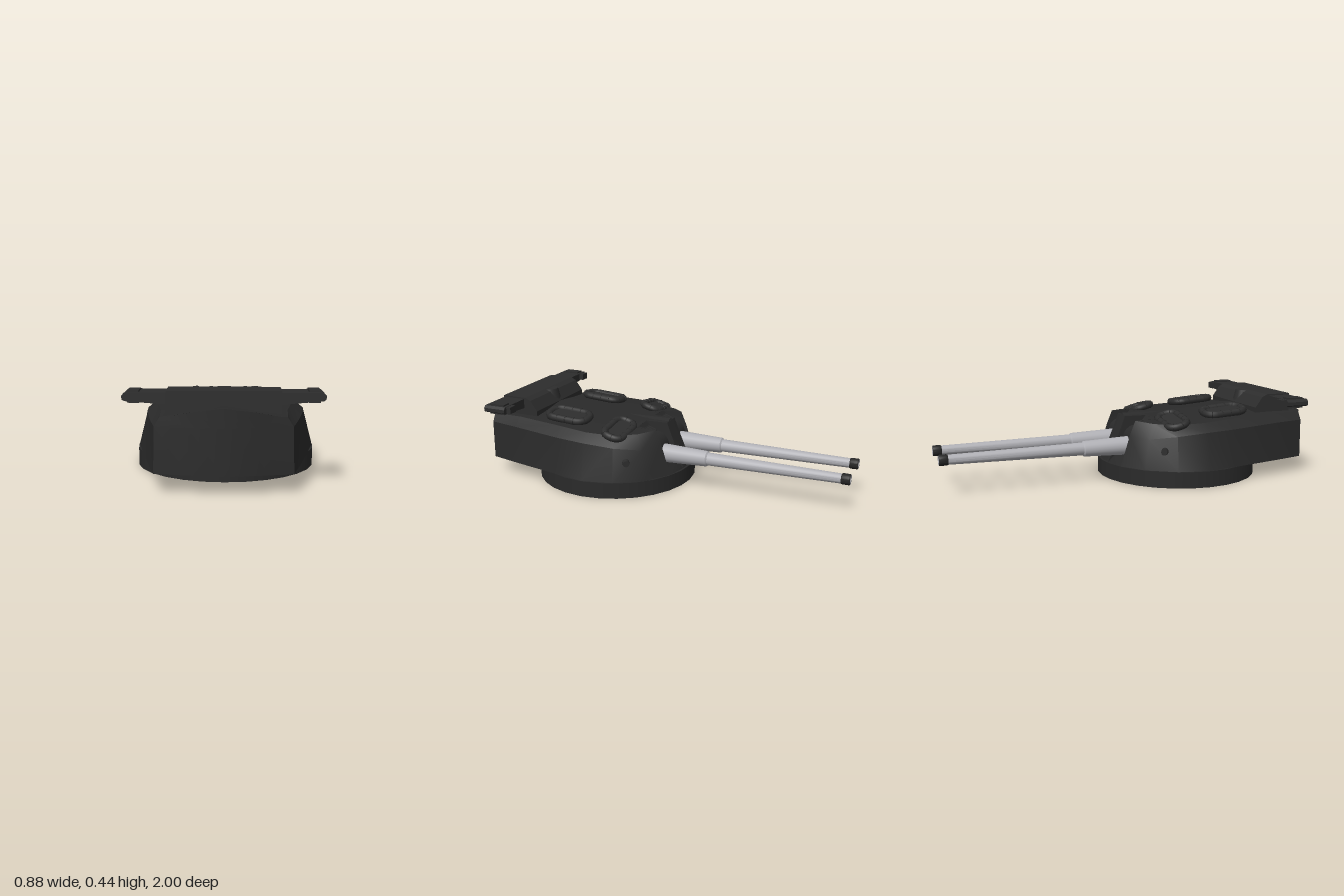
import * as THREE from 'three';
import { toCreasedNormals } from 'three/addons/utils/BufferGeometryUtils.js';
import { ConvexGeometry } from 'three/addons/geometries/ConvexGeometry.js';

const flat = (name, color, side = THREE.FrontSide) => {
  const m = new THREE.MeshStandardMaterial({ color, side });
  m.name = name;
  return m;
};

export function createModel() {
  const root = new THREE.Group();
  root.name = 'gunTurret';
  const armour = flat('dark armour', 0x2a2a2a, THREE.DoubleSide);
  const fitting = flat('dark fittings', 0x2d2d2d);
  const steel = flat('barrel steel', 0xb0b0b5, THREE.DoubleSide);
  const black = flat('muzzle black', 0x262626);

  const add = (name, geo, mat, x = 0, y = 0, z = 0, parent = root) => {
    const m = new THREE.Mesh(geo, mat);
    m.name = name;
    m.position.set(x, y, z);
    parent.add(m);
    return m;
  };
  const hull = (name, pts, mat, parent = root) =>
    add(name, toCreasedNormals(new ConvexGeometry(pts.map(p => new THREE.Vector3(...p))), 0.4), mat, 0, 0, 0, parent);

  // Base ring, open below and closed at the turret floor
  const R = 0.438, ringZ = 0.325, floorY = 0.085;
  add('baseRing', new THREE.CylinderGeometry(R, R, floorY, 28, 1, true), armour, 0, floorY / 2, ringZ);
  const disc = new THREE.CircleGeometry(R, 28, Math.PI / 2);
  disc.rotateX(-Math.PI / 2);
  add('ringFloor', disc, armour, 0, floorY - 0.001, ringZ);

  // Armoured house, nose to rear: foot x,z | shoulder x,y,z | roof edge x,y,z | spine z
  // Stations 2 and 3 step back to form the gun slot
  const stations = [
    [0, -0.1, 0, 0.25, -0.035, 0, 0.33, 0, 0],
    [0.052, -0.097, 0.052, 0.25, -0.03, 0.052, 0.329, 0, 0.06],
    [0.055, -0.097, 0.055, 0.13, -0.05, 0.055, 0.328, 0.12, 0.12],
    [0.175, -0.072, 0.175, 0.13, -0.045, 0.175, 0.325, 0.12, 0.13],
    [0.178, -0.071, 0.178, 0.25, -0.02, 0.178, 0.324, 0.01, 0.14],
    [0.305, 0.015, 0.28, 0.24, 0.045, 0.25, 0.315, 0.08, 0.16],
    [0.4, 0.16, 0.362, 0.26, 0.17, 0.31, 0.31, 0.19, 0.22],
    [0.436, 0.32, 0.387, 0.275, 0.33, 0.335, 0.318, 0.34, 0.36],
    [0.402, 0.49, 0.375, 0.28, 0.49, 0.32, 0.328, 0.5, 0.5],
    [0.34, 0.78, 0.33, 0.29, 0.78, 0.28, 0.335, 0.78, 0.78],
    [0.3, 0.95, 0.295, 0.29, 0.95, 0.27, 0.332, 0.95, 0.97],
    [0.15, 0.975, 0.15, 0.29, 0.975, 0.145, 0.355, 0.975, 0.985],
    [0, 1, 0, 0.29, 1, 0, 0.375, 1, 1],
  ].map(([fx, fz, sx, sy, sz, ex, ey, ez, cz]) => {
    const cy = 0.33 + 0.045 * THREE.MathUtils.smoothstep(cz, 0, 1);
    return [[fx, floorY, fz], [sx, sy, sz], [ex, ey, ez], [0.9 * ex, 0.9 * ey + 0.1 * cy, cz], [0, cy, cz]];
  });
  const pos = [];
  for (const side of [1, -1]) {
    const tri = (a, b, c) => {
      for (const p of side > 0 ? [a, b, c] : [a, c, b]) pos.push(p[0] * side, p[1], p[2]);
    };
    for (let i = 0; i < stations.length - 1; i++) {
      for (let j = 0; j < 4; j++) {
        const [a, b, c, d] = [stations[i][j], stations[i][j + 1], stations[i + 1][j], stations[i + 1][j + 1]];
        tri(a, b, c);
        tri(b, d, c);
      }
    }
  }
  const house = new THREE.BufferGeometry();
  house.setAttribute('position', new THREE.Float32BufferAttribute(pos, 3));
  add('turretHouse', toCreasedNormals(house, 0.45), armour);

  // Underside of the house
  const foot = stations.map(s => [s[0][0], s[0][2]]);
  const outline = [...foot, ...foot.slice(1, -1).reverse().map(([x, z]) => [-x, z])];
  const floor = new THREE.ShapeGeometry(new THREE.Shape(outline.map(p => new THREE.Vector2(...p))));
  floor.rotateX(Math.PI / 2);
  add('houseFloor', floor, armour, 0, floorY, 0);

  // Central wedge on the roof between the guns
  hull('roofWedge', [[0, 0.337, 0.25], [-0.05, 0.32, 0], [0.05, 0.32, 0], [0, 0.339, 0.005],
    [0, 0.32, 0.25]], armour);

  // Guns: stepped barrel, black muzzle collar with a bore, rounded mantlet in the slot
  const lathe = (pts) => {
    const g = new THREE.LatheGeometry(pts.map(p => new THREE.Vector2(...p)), 20);
    g.rotateX(-Math.PI / 2);
    return toCreasedNormals(g, 0.6);
  };
  const barrel = lathe([[0.05, -0.03], [0.049, 0.03], [0.041, 0.255], [0.034, 0.262], [0.025, 0.96]]);
  const muzzle = lathe([[0.025, 0.955], [0.028, 0.962], [0.028, 0.995], [0.025, 1]]);
  const bore = lathe([[0.025, 1], [0.015, 1], [0.014, 0.93], [0, 0.93]]);
  const drum = new THREE.CylinderGeometry(0.075, 0.075, 0.112, 24);
  drum.rotateZ(Math.PI / 2);
  for (const side of [1, -1]) {
    const gun = new THREE.Group();
    gun.name = side > 0 ? 'leftGun' : 'rightGun';
    gun.position.set(side * 0.115, 0.182, 0);
    root.add(gun);
    add('barrel', barrel, steel, 0, 0, 0, gun);
    add('muzzleCollar', muzzle, black, 0, 0, 0, gun);
    add('bore', bore, steel, 0, 0, 0, gun);
    add('mantlet', drum, armour, 0, 0.025, 0.06, gun);
    for (let i = -2; i <= 2; i++) {
      const rib = add('mantletRib', new THREE.BoxGeometry(0.013, 0.03, 0.065), fitting, i * 0.022, 0.104, 0.09, gun);
      rib.rotation.x = -0.35;
    }
  }

  // Life rafts: banded oval float with a flat bottom
  const ovalShape = (a, b) => {
    const r = Math.min(a, b) * 0.85, s = new THREE.Shape();
    s.absarc(a - r, b - r, r, 0, Math.PI / 2);
    s.absarc(r - a, b - r, r, Math.PI / 2, Math.PI);
    s.absarc(r - a, r - b, r, Math.PI, Math.PI * 1.5);
    s.absarc(a - r, r - b, r, Math.PI * 1.5, Math.PI * 2);
    s.closePath();
    return s;
  };
  const raft = (a, b, x, y, z, tiltX, tiltZ) => {
    const g = new THREE.Group(), tube = 0.0195;
    g.name = 'lifeRaft';
    g.position.set(x, y, z);
    g.rotation.set(tiltX, 0, tiltZ);
    root.add(g);
    const shape = ovalShape(a - tube, b - tube);
    const pts = shape.getSpacedPoints(32).slice(0, -1).map(p => new THREE.Vector3(p.x, 0, -p.y));
    const path = new THREE.CatmullRomCurve3(pts, true);
    add('raftFloat', new THREE.TubeGeometry(path, 48, tube, 10, true), fitting, 0, 0, 0, g);
    for (let i = 0; i < 12; i++) {
      const band = add('raftBand', new THREE.TorusGeometry(tube, 0.002, 5, 12), armour, 0, 0, 0, g);
      band.position.copy(path.getPointAt(i / 12));
      band.quaternion.setFromUnitVectors(new THREE.Vector3(0, 0, 1), path.getTangentAt(i / 12));
    }
    const base = new THREE.ExtrudeGeometry(shape, { depth: 0.014, bevelEnabled: false });
    base.rotateX(-Math.PI / 2);
    add('raftFloor', base, fitting, 0, -0.008, 0, g);
  };

  for (const side of [1, -1]) {
    raft(0.115, 0.073, side * 0.235, 0.325, 0.195, -0.25, side * -0.18);
    raft(0.08, 0.132, side * 0.205, 0.355, 0.51, -0.07, side * -0.12);

    // Sighting port on the flank
    const port = add('sidePort', new THREE.CylinderGeometry(0.017, 0.021, 0.05, 12), fitting, side * 0.338, 0.185, 0.11);
    port.quaternion.setFromUnitVectors(new THREE.Vector3(0, 1, 0), new THREE.Vector3(side * 0.85, 0, -0.53).normalize());

    // Rangefinder arm with end housing
    hull('rangefinderArm', [0.77, 0.895].flatMap(z => [[0.24, 0.375, z], [0.24, 0.427, z], [0.425, 0.427, z],
      [0.437, 0.415, z], [0.437, 0.397, z], [0.425, 0.39, z]].map(([x, y, w]) => [x * side, y, w])), fitting);
    add('rangefinderLens', new THREE.BoxGeometry(0.05, 0.035, 0.04), fitting, side * 0.39, 0.408, 0.765);
    add('rangefinderCap', new THREE.BoxGeometry(0.05, 0.055, 0.09), fitting, side * 0.39, 0.4075, 0.83);
  }

  // Rangefinder housing with sloping fore edge and central hump
  hull('rangefinderHousing', [-0.248, 0.248].flatMap(x => [[x, 0.335, 0.9], [x, 0.435, 0.9],
    [x, 0.435, 0.76], [x, 0.42, 0.73], [x, 0.365, 0.69], [x, 0.335, 0.69]]), fitting);
  add('rangefinderHump', new THREE.CylinderGeometry(0.045, 0.06, 0.06, 16), fitting, 0, 0.402, 0.755);
  return root;
}
